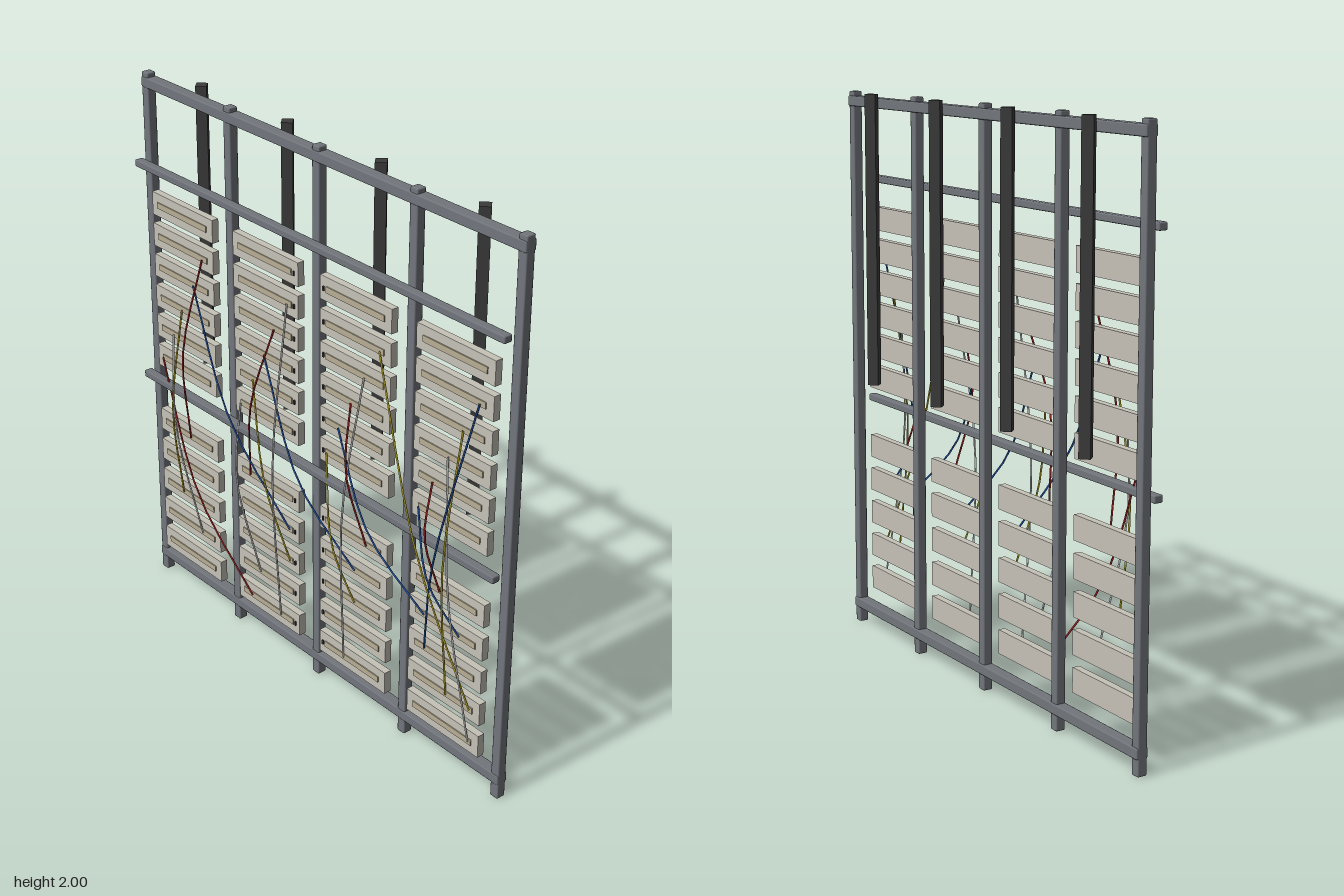
import * as THREE from 'three';
import { RoundedBoxGeometry } from 'three/addons/geometries/RoundedBoxGeometry.js';

const mat = (name, color) => {
  const m = new THREE.MeshStandardMaterial({ color });
  m.name = name;
  return m;
};

export function createModel() {
  const group = new THREE.Group();
  const steel = mat('steel grey', 0x72767c);
  const cream = mat('block cream', 0xc6c2b8);
  const tan = mat('strip tan', 0xb8ae94);
  const dark = mat('cable charcoal', 0x3c3c3c);
  const wireMats = {
    red: mat('wire red', 0x9a2424),
    blue: mat('wire blue', 0x23509a),
    yellow: mat('wire yellow', 0xb5a52c),
    white: mat('wire white', 0xc8c8c8),
  };

  const add = (name, geo, material, x, y, z) => {
    const m = new THREE.Mesh(geo, material);
    m.name = name;
    m.position.set(x, y, z);
    group.add(m);
    return m;
  };
  const box = (name, w, h, d, material, x, y, z) =>
    add(name, new THREE.BoxGeometry(w, h, d), material, x, y, z);
  // steel bars with slightly softened edges
  const bar = (name, w, h, d, x, y, z) =>
    add(name, new RoundedBoxGeometry(w, h, d, 1, 0.005), steel, x, y, z);

  // frame: five uprights, top and bottom rails, two cable rails in front
  for (let i = -2; i <= 2; i++) bar('upright', 0.035, 2, 0.035, i * 0.4545, 1, -0.01);
  for (const y of [0.075, 1.965]) bar('endRail', 1.852, 0.037, 0.043, 0, y, -0.011);
  for (const y of [0.865, 1.685]) bar('cableRail', 1.82, 0.026, 0.032, 0, y, 0.046);

  // terminal blocks in four columns
  const rows = [1.547, 1.429, 1.311, 1.193, 1.075, 0.957, 0.692, 0.565, 0.438, 0.311, 0.184];
  const columns = [-0.682, -0.227, 0.227, 0.682];
  columns.forEach((x, c) => {
    for (const y of rows) {
      box('terminalBlock', 0.342, 0.085, 0.027, cream, x, y, 0.0205);
      box('contactStrip', 0.28, 0.022, 0.005, tan, x, y, 0.0355);
      // small marker pin on the inner columns
      if (c === 1 || c === 2) box('markerPin', 0.006, 0.016, 0.006, dark, x + (c === 1 ? 0.152 : -0.152), y, 0.036);
    }
    // square trunk cable behind, standing on its edge
    add('trunkCable', new THREE.CylinderGeometry(0.027, 0.027, 1.04, 4).toNonIndexed(), dark, x, 1.48, -0.066)
      .geometry.computeVertexNormals();
  });

  // jumper wires: start, middle and end in x, y; the middle bows forward
  const wires = {
    red: [
      [-0.566, 1.43, -0.63, 1.06, -0.665, 0.69],
      [-0.82, 0.957, -0.566, 0.52, -0.317, 0.184],
      [-0.175, 1.311, -0.245, 1.02, -0.317, 0.69],
      [0.217, 1.193, 0.25, 0.97, 0.3, 0.69],
      [0.608, 1.075, 0.63, 0.9, 0.656, 0.69],
    ],
    blue: [
      [-0.624, 1.311, -0.37, 0.91, -0.1, 0.565],
      [-0.233, 1.193, 0.01, 0.82, 0.243, 0.565],
      [0.153, 1.075, 0.36, 0.79, 0.587, 0.565],
      [0.545, 0.957, 0.645, 0.75, 0.75, 0.565],
      [0.8, 1.43, 0.67, 0.82, 0.592, 0.438],
    ],
    yellow: [
      [-0.693, 1.193, -0.703, 0.81, -0.72, 0.438],
      [-0.296, 1.075, -0.18, 0.745, -0.1, 0.438],
      [0.095, 0.957, 0.18, 0.66, 0.243, 0.438],
      [0.349, 1.43, 0.59, 0.83, 0.81, 0.311],
      [0.735, 1.311, 0.715, 0.82, 0.7, 0.311],
    ],
    white: [
      [-0.75, 1.075, -0.69, 0.755, -0.61, 0.311],
      [-0.365, 0.957, -0.335, 0.69, -0.265, 0.311],
      [-0.106, 1.43, -0.132, 0.82, -0.153, 0.184],
      [0.28, 1.311, 0.233, 0.81, 0.19, 0.184],
      [0.672, 1.193, 0.74, 0.755, 0.81, 0.184],
    ],
  };
  for (const [colour, list] of Object.entries(wires)) {
    for (const [x0, y0, x1, y1, x2, y2] of list) {
      const path = new THREE.CatmullRomCurve3([
        new THREE.Vector3(x0, y0, 0.04),
        new THREE.Vector3(x1, y1, 0.088),
        new THREE.Vector3(x2, y2, 0.04),
      ]);
      add(colour + 'Wire', new THREE.TubeGeometry(path, 8, 0.0035, 5), wireMats[colour], 0, 0, 0);
    }
  }

  return group;
}
